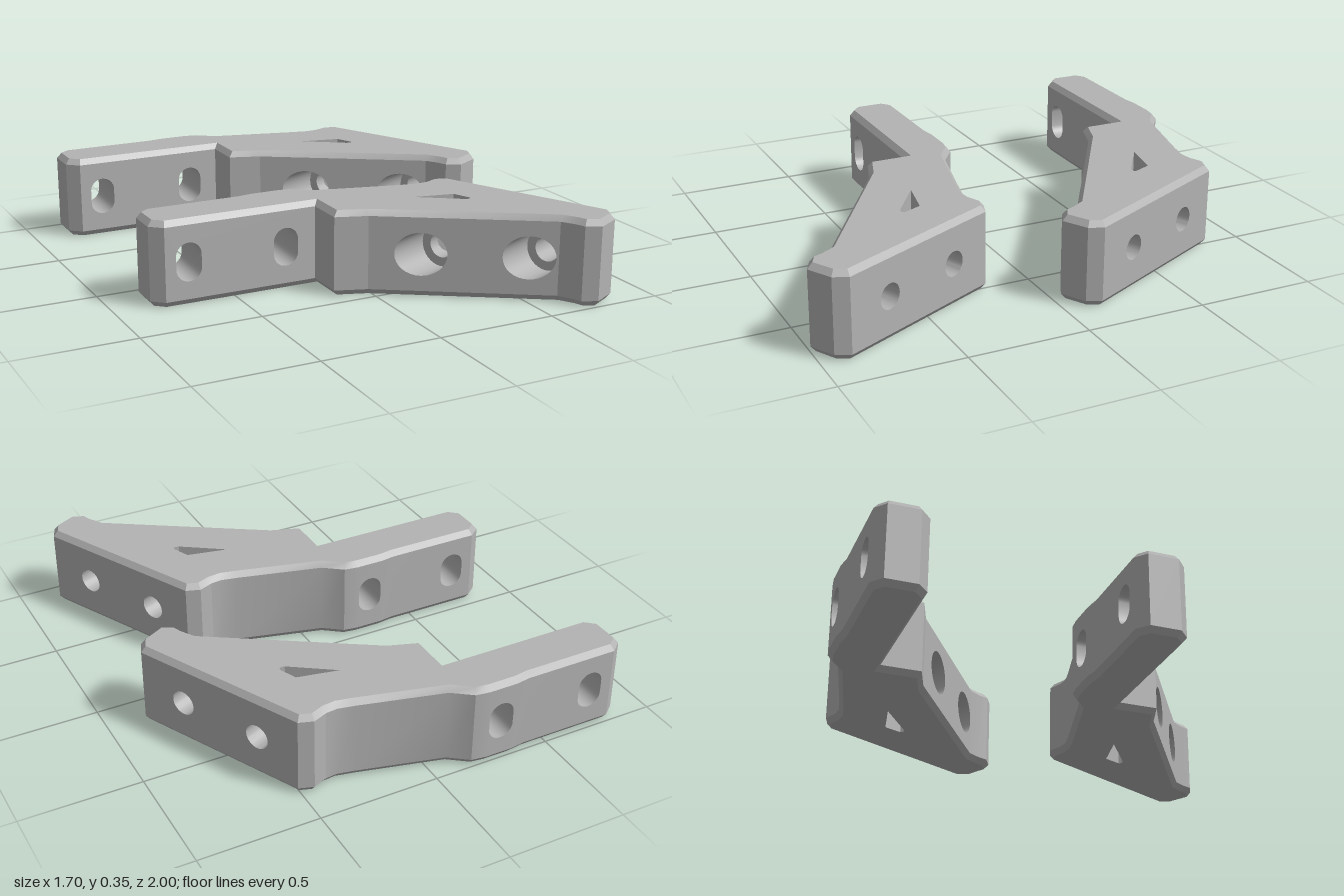
import * as THREE from 'three';
import { mergeGeometries, toCreasedNormals } from 'three/addons/utils/BufferGeometryUtils.js';

const H = 0.355, BEVEL = 0.024, MID = 0.178;

// Plan outline [x, z], clockwise from above
const outline = [
  [-0.85, 0.08], [-0.8, 0.04], [-0.4, 0.04], [-0.34, 0.031], [-0.22, 0.031], [-0.16, 0.04],
  [-0.08, 0.1], [0.27, 0.19], [0.34, 0.205], [0.39, 0.2], [0.45, 0.175], [0.51, 0.195],
  [0.845, 0.885], [0.82, 0.945], [0.72, 1.0], [0.66, 0.97], [0.645, 0.93], [0.612, 0.876],
  [-0.02, 0.47], [-0.15, 0.425], [-0.15, 0.255], [-0.8, 0.255], [-0.85, 0.21],
];
// Vertical lightening hole, wound the other way
const pocket = [[0.23, 0.39], [0.405, 0.51], [0.425, 0.512], [0.432, 0.5], [0.4, 0.425]];
// Indices of the walls that are pierced
const BACK_1 = 1, BACK_2 = 3, RIGHT = 11, SLANT = 17, ARM_FRONT = 20;

const edge = (pts, i) => [pts[i], pts[(i + 1) % pts.length]];

// Offset a loop inwards with mitred corners
function inset(pts, k) {
  const normal = ([a, b]) => {
    const dx = b[0] - a[0], dz = b[1] - a[1], l = Math.hypot(dx, dz);
    return [-dz / l, dx / l];
  };
  return pts.map((p, i) => {
    const m = normal(edge(pts, (i + pts.length - 1) % pts.length));
    const n = normal(edge(pts, i));
    const f = k / (1 + m[0] * n[0] + m[1] * n[1]);
    return [p[0] + (m[0] + n[0]) * f, p[1] + (m[1] + n[1]) * f];
  });
}

const atHeight = (pts, y) => pts.map(([x, z]) => new THREE.Vector3(x, y, z));

// Closed band between two loops
function loft(P, Q) {
  const pos = [];
  P.forEach((p, i) => {
    const j = (i + 1) % P.length;
    for (const v of [P[j], p, Q[i], P[j], Q[i], Q[j]]) pos.push(v.x, v.y, v.z);
  });
  const g = new THREE.BufferGeometry();
  g.setAttribute('position', new THREE.Float32BufferAttribute(pos, 3));
  return g;
}

// Round or slotted bore section, slid along d onto the vertical plane through a and b
function ring([cx, cz], [dx, dz], r, e, [a, b]) {
  const nx = b[1] - a[1], nz = a[0] - b[0];
  return Array.from({ length: 32 }, (_, i) => {
    const t = (i / 32) * Math.PI * 2, s = Math.sin(t);
    const w = r * Math.cos(t);
    const y = MID + r * s + (Math.abs(s) < 1e-6 ? 0 : Math.sign(s) * e);
    const x = cx - dz * w, z = cz + dx * w;
    const k = ((a[0] - x) * nx + (a[1] - z) * nz) / (dx * nx + dz * nz);
    return new THREE.Vector3(x + dx * k, y, z + dz * k);
  });
}

// Flat vertical wall over one edge, pierced by rings
function wall([a, b], y0, y1, rings = []) {
  const len = Math.hypot(a[0] - b[0], a[1] - b[1]);
  const ux = (a[0] - b[0]) / len, uz = (a[1] - b[1]) / len;
  const shape = new THREE.Shape([[0, y0], [len, y0], [len, y1], [0, y1]].map(p => new THREE.Vector2(...p)));
  for (const loop of rings) {
    shape.holes.push(new THREE.Path(loop.map(p =>
      new THREE.Vector2((p.x - b[0]) * ux + (p.z - b[1]) * uz, p.y))));
  }
  const g = new THREE.ShapeGeometry(shape);
  const pos = g.attributes.position;
  for (let i = 0; i < pos.count; i++) {
    const s = pos.getX(i);
    pos.setXYZ(i, b[0] + ux * s, pos.getY(i), b[1] + uz * s);
  }
  return g;
}

// Horizontal face with the pocket cut out; side is 1 for top, -1 for bottom
function cap(pts, y, side) {
  const flat = loop => loop.map(([x, z]) => new THREE.Vector2(x, -side * z));
  const shape = new THREE.Shape(flat(pts));
  shape.holes.push(new THREE.Path(flat(pocket)));
  return new THREE.ShapeGeometry(shape).rotateX(-side * Math.PI / 2).translate(0, y, 0);
}

function join(parts, crease) {
  const plain = parts.map(g => {
    const p = g.index ? g.toNonIndexed() : g;
    p.deleteAttribute('uv');
    p.deleteAttribute('normal');
    return p;
  });
  return toCreasedNormals(mergeGeometries(plain), crease);
}

export function createModel() {
  const grey = new THREE.MeshStandardMaterial({ color: 0xb3b3b3 });
  grey.name = 'plain grey';

  const pierced = {};
  const bores = [];
  const pierce = (i, loop) => { (pierced[i] ??= []).push(loop); return loop; };

  // Mounting slots through the arm
  for (const [x, back] of [[-0.7, BACK_1], [-0.28, BACK_2]]) {
    const near = pierce(ARM_FRONT, ring([x, 0.25], [0, -1], 0.054, 0.026, edge(outline, ARM_FRONT)));
    const far = pierce(back, ring([x, 0.25], [0, -1], 0.054, 0.026, edge(outline, back)));
    bores.push(loft(far, near));
  }

  // Counterbored bolt holes, square to the right-hand face
  const [ra, rb] = edge(outline, RIGHT);
  const rl = Math.hypot(rb[0] - ra[0], rb[1] - ra[1]);
  const d = [(rb[1] - ra[1]) / rl, -(rb[0] - ra[0]) / rl];
  for (const [c, depth, meetsPocket] of [[[0.155, 0.583], 0.15, true], [[0.515, 0.814], 0.14, false]]) {
    const f = [c[0] + d[0] * depth, c[1] + d[1] * depth];
    const floor = [f, [f[0] - d[1], f[1] + d[0]]];
    const mouth = pierce(SLANT, ring(c, d, 0.09, 0, edge(outline, SLANT)));
    const exit = pierce(RIGHT, ring(c, d, 0.052, 0, edge(outline, RIGHT)));
    const big = ring(c, d, 0.09, 0, floor), small = ring(c, d, 0.052, 0, floor);
    bores.push(loft(big, mouth), loft(small, big));
    if (meetsPocket) {
      bores.push(loft(ring(c, d, 0.052, 0, edge(pocket, 0)), small));
      bores.push(loft(exit, ring(c, d, 0.052, 0, edge(pocket, 3))));
    } else bores.push(loft(exit, small));
  }

  // Solid body: walls, chamfers and caps
  const inner = inset(outline, BEVEL * 0.8);
  const body = join([
    ...outline.map((_, i) => wall(edge(outline, i), BEVEL, H - BEVEL, pierced[i])),
    loft(atHeight(inner, 0), atHeight(outline, BEVEL)),
    loft(atHeight(outline, H - BEVEL), atHeight(inner, H)),
    cap(inner, H, 1),
    cap(inner, 0, -1),
  ], 0.4);
  const pocketWalls = join(pocket.map((_, i) => wall(edge(pocket, i), 0, H)), 0.4);
  const boreWalls = join(bores, 0.6);

  // Two identical brackets, one behind the other
  const model = new THREE.Group();
  model.name = 'bracketPair';
  for (const [name, z] of [['frontBracket', 0], ['backBracket', -1.03]]) {
    const bracket = new THREE.Group();
    bracket.name = name;
    bracket.position.z = z;
    for (const [part, g] of [['body', body], ['pocket', pocketWalls], ['bores', boreWalls]]) {
      const mesh = new THREE.Mesh(g, grey);
      mesh.name = part;
      bracket.add(mesh);
    }
    model.add(bracket);
  }
  return model;
}
